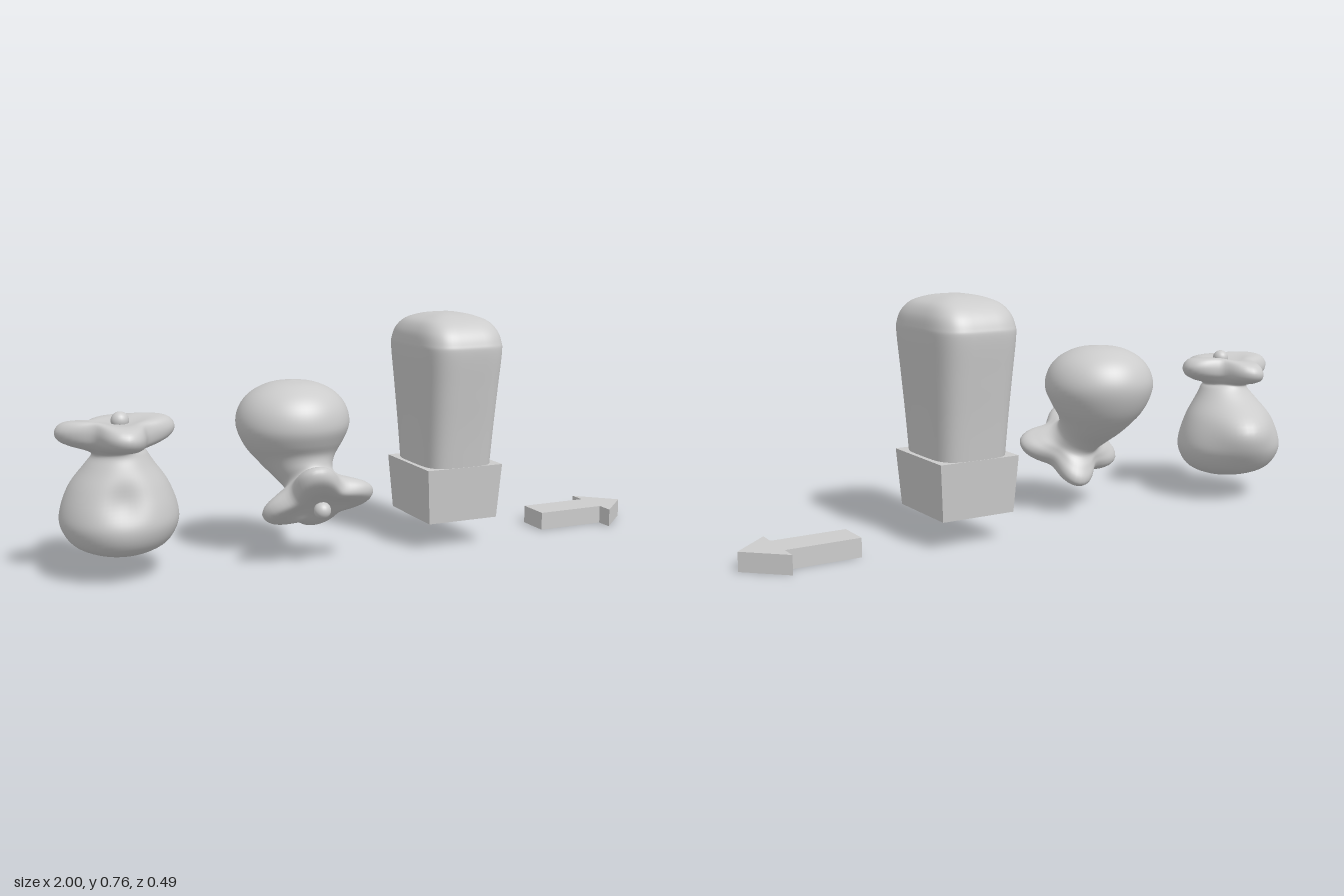
import * as THREE from 'three';

const material = new THREE.MeshStandardMaterial({ color: 0xcccccc });

function addMesh(parent, name, geometry, x = 0, y = 0, z = 0) {
  const mesh = new THREE.Mesh(geometry, material);
  mesh.name = name;
  mesh.position.set(x, y, z);
  parent.add(mesh);
  return mesh;
}

// Smooth closed surface through rings; point(u, angle) gives a Vector3, u runs 0..1
function loft(rows, segments, point) {
  const positions = [], index = [];
  for (let i = 0; i <= rows; i++) {
    for (let j = 0; j < segments; j++) {
      positions.push(...point(i / rows, (j / segments) * Math.PI * 2).toArray());
      if (i === rows) continue;
      const a = i * segments + j, b = i * segments + ((j + 1) % segments);
      index.push(a, a + segments, b, b, a + segments, b + segments);
    }
  }
  const geometry = new THREE.BufferGeometry();
  geometry.setAttribute('position', new THREE.Float32BufferAttribute(positions, 3));
  geometry.setIndex(index);
  geometry.computeVertexNormals();
  return geometry;
}

const spline = (points) => new THREE.CatmullRomCurve3(points, false, 'catmullrom', 0.5);

// Sack rings: [x, y, z, radius, lobe depth, tilt in degrees]; dents: [x, y, z, amount, size]
function sackGeometry(rings, phase, dents) {
  const centres = spline(rings.map((r) => new THREE.Vector3(r[0], r[1], r[2])));
  const forms = spline(rings.map((r) => new THREE.Vector3(r[3], r[4], r[5])));
  return loft(72, 64, (u, angle) => {
    const centre = centres.getPoint(u), form = forms.getPoint(u);
    const tilt = THREE.MathUtils.degToRad(form.z);
    const axis = new THREE.Vector3(0, Math.cos(tilt), Math.sin(tilt));
    const across = new THREE.Vector3(0, -Math.sin(tilt), Math.cos(tilt));
    const out = new THREE.Vector3(Math.cos(angle), 0, 0).addScaledVector(across, Math.sin(angle));
    const radius = Math.max(form.x, 0) * (1 + form.y * Math.cos(4 * (angle - phase)));
    const p = centre.clone().addScaledVector(out, radius);
    p.addScaledVector(axis, 0.05 * form.y * Math.cos(2 * angle + 0.8));
    // Soft bulges and hollows in the cloth
    let push = 0;
    for (const [x, y, z, amount, size] of dents) {
      const d2 = p.distanceToSquared(new THREE.Vector3(x, y, z));
      push += amount * Math.exp(-d2 / (size * size));
    }
    return p.addScaledVector(out, push);
  });
}

function createSack(name, rings, phase, dents, knob) {
  const sack = new THREE.Group();
  sack.name = name;
  addMesh(sack, 'ruffledSack', sackGeometry(rings, phase, dents));
  addMesh(sack, 'knob', new THREE.SphereGeometry(0.027, 24, 16), ...knob);
  return sack;
}

function createBlock() {
  const block = new THREE.Group();
  block.name = 'roundedBlock';
  block.position.set(0.285, 0, -0.025);

  // Base box, slightly narrower at the bottom
  const base = new THREE.BoxGeometry(0.272, 0.18, 0.3);
  const pos = base.attributes.position;
  for (let i = 0; i < pos.count; i++) {
    if (pos.getY(i) < 0) pos.setXYZ(i, pos.getX(i) * 0.91, pos.getY(i), pos.getZ(i) * 0.915);
  }
  base.computeVertexNormals();
  addMesh(block, 'baseBox', base, 0, 0.18, 0);

  // Tall body widening upwards to a domed top: [half width, height, half depth]
  const rings = [
    [0.12, 0.26, 0.147], [0.126, 0.39, 0.163], [0.133, 0.52, 0.181], [0.14, 0.64, 0.197],
    [0.139, 0.675, 0.193], [0.13, 0.71, 0.174], [0.108, 0.739, 0.139],
    [0.07, 0.756, 0.088], [0.033, 0.763, 0.042], [0, 0.765, 0],
  ];
  const profile = spline(rings.map((r) => new THREE.Vector3(...r)));
  const rounded = (v) => Math.sign(v) * Math.sqrt(Math.abs(v));
  addMesh(block, 'domedBody', loft(54, 64, (u, angle) => {
    const p = profile.getPoint(u);
    return new THREE.Vector3(p.x * rounded(Math.cos(angle)), p.y, p.z * rounded(Math.sin(angle)));
  }));
  return block;
}

function createArrow() {
  const half = [[0.64, 0.057], [0.88, 0.057], [0.88, 0.115]];
  const outline = [...half, [1, 0], ...half.map(([x, y]) => [x, -y]).reverse()];
  const shape = new THREE.Shape(outline.map(([x, y]) => new THREE.Vector2(x, y)));
  const geometry = new THREE.ExtrudeGeometry(shape, { depth: 0.06, bevelEnabled: false });
  geometry.rotateX(-Math.PI / 2);
  return geometry;
}

export function createModel() {
  const model = new THREE.Group();
  model.name = 'sacksBlockAndArrow';

  // Upright sack with an open ruffle on top
  const s = -0.81, f = -0.823;
  model.add(createSack('uprightSack', [
    [s, 0.07, -0.03, 0, 0, 0], [s, 0.08, -0.035, 0.075, 0, 0], [s, 0.11, -0.045, 0.142, 0, 0],
    [s, 0.165, -0.05, 0.176, 0, 0], [s, 0.22, -0.05, 0.174, 0, 0], [s, 0.29, -0.045, 0.147, 0, 0],
    [s, 0.35, -0.03, 0.105, 0, 0], [s, 0.385, -0.02, 0.082, 0, 0], [f, 0.4, -0.015, 0.085, 0.03, 0],
    [f, 0.412, -0.01, 0.115, 0.14, 0], [f, 0.43, -0.01, 0.14, 0.2, 0],
    [f, 0.457, -0.008, 0.146, 0.22, 0], [f, 0.482, -0.005, 0.13, 0.2, 0],
    [f, 0.488, 0, 0.095, 0.13, 0], [f, 0.48, 0, 0.05, 0.04, 0], [s, 0.475, 0, 0, 0, 0],
  ], 0, [[-0.75, 0.27, -0.22, 0.055, 0.09], [-0.83, 0.25, 0.12, -0.025, 0.065]], [s, 0.485, 0]));

  // Upturned sack whose ruffle bends down and forward
  const t = -0.255, g = -0.225;
  model.add(createSack('upturnedSack', [
    [t, 0.57, -0.03, 0, 0, 180], [t, 0.56, -0.03, 0.075, 0, 180], [t, 0.53, -0.03, 0.135, 0, 180],
    [t, 0.485, -0.03, 0.17, 0, 180], [t, 0.43, -0.03, 0.179, 0, 180], [t, 0.37, -0.025, 0.155, 0, 175],
    [-0.25, 0.32, -0.005, 0.118, 0, 165], [-0.24, 0.28, 0.03, 0.09, 0, 152],
    [g, 0.255, 0.055, 0.085, 0.03, 142], [g, 0.24, 0.07, 0.112, 0.14, 140],
    [g, 0.225, 0.085, 0.138, 0.2, 140], [g, 0.207, 0.1, 0.145, 0.22, 140],
    [g, 0.189, 0.115, 0.13, 0.2, 140], [g, 0.185, 0.12, 0.095, 0.13, 140],
    [g, 0.19, 0.115, 0.05, 0.04, 140], [g, 0.194, 0.112, 0, 0, 140],
  ], -0.3, [], [-0.22, 0.18, 0.128]));

  model.add(createBlock());
  addMesh(model, 'directionArrow', createArrow(), 0, 0, -0.025);
  return model;
}
